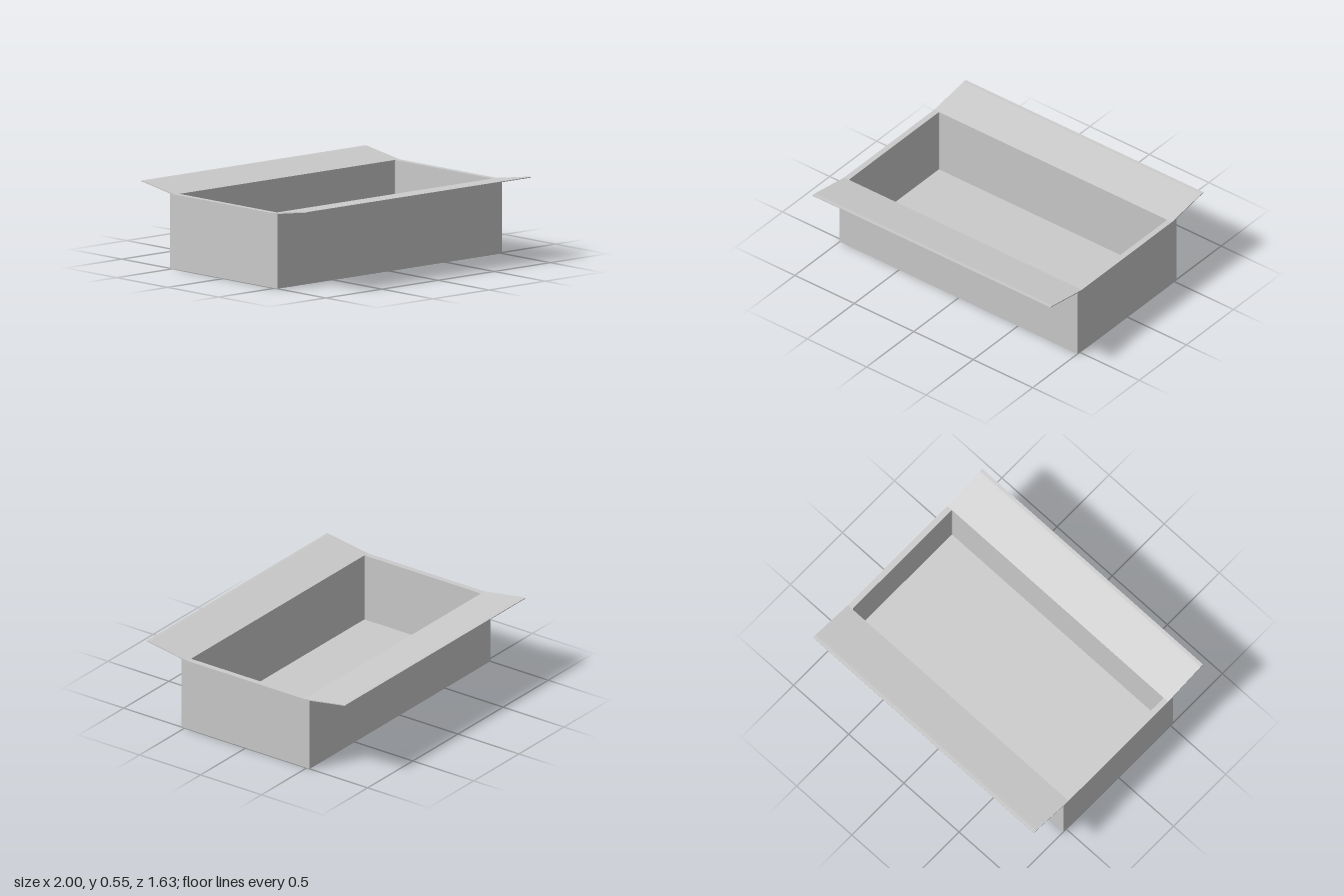
import * as THREE from 'three';

const material = new THREE.MeshStandardMaterial({ color: 0xcccccc });

const HALF_W = 1, HALF_D = 0.525, HEIGHT = 0.5;   // outer tray
const IN_W = 0.96, IN_D = 0.478, FLOOR = 0.03;    // cavity

function mesh(name, geometry) {
  const m = new THREE.Mesh(geometry, material);
  m.name = name;
  return m;
}

// Rectangle outline with slightly rounded corners
function roundedRect(path, w, d, r) {
  path.moveTo(-w + r, -d);
  path.lineTo(w - r, -d);
  path.quadraticCurveTo(w, -d, w, -d + r);
  path.lineTo(w, d - r);
  path.quadraticCurveTo(w, d, w - r, d);
  path.lineTo(-w + r, d);
  path.quadraticCurveTo(-w, d, -w, d - r);
  path.lineTo(-w, -d + r);
  path.quadraticCurveTo(-w, -d, -w + r, -d);
  return path;
}

// Four upright walls around the open cavity
function walls() {
  const shape = new THREE.Shape([
    new THREE.Vector2(-HALF_W, -HALF_D), new THREE.Vector2(HALF_W, -HALF_D),
    new THREE.Vector2(HALF_W, HALF_D), new THREE.Vector2(-HALF_W, HALF_D),
  ]);
  shape.holes.push(roundedRect(new THREE.Path(), IN_W, IN_D, 0.01));
  const g = new THREE.ExtrudeGeometry(shape, { depth: HEIGHT, bevelEnabled: false, curveSegments: 4 });
  g.rotateX(-Math.PI / 2);
  return mesh('walls', g);
}

// Thin flap rising outward, levelling off at its lip; profile is (z, y)
function flap(name) {
  const profile = [
    [0.478, 0.5], [0.525, 0.5], [0.77, 0.54], [0.79, 0.543], [0.813, 0.545],
    [0.813, 0.55], [0.79, 0.549], [0.77, 0.546],
  ].map(([z, y]) => new THREE.Vector2(z, y));
  const g = new THREE.ExtrudeGeometry(new THREE.Shape(profile), { depth: 2 * HALF_W, bevelEnabled: false });
  g.rotateY(-Math.PI / 2);
  g.translate(HALF_W, 0, 0);
  return mesh(name, g);
}

export function createModel() {
  const group = new THREE.Group();
  group.name = 'openTray';

  const floor = mesh('floor', new THREE.BoxGeometry(2 * IN_W, FLOOR, 2 * IN_D));
  floor.position.y = FLOOR / 2;

  const backFlap = flap('backFlap');
  backFlap.rotation.y = Math.PI;

  group.add(walls(), floor, flap('frontFlap'), backFlap);
  return group;
}
